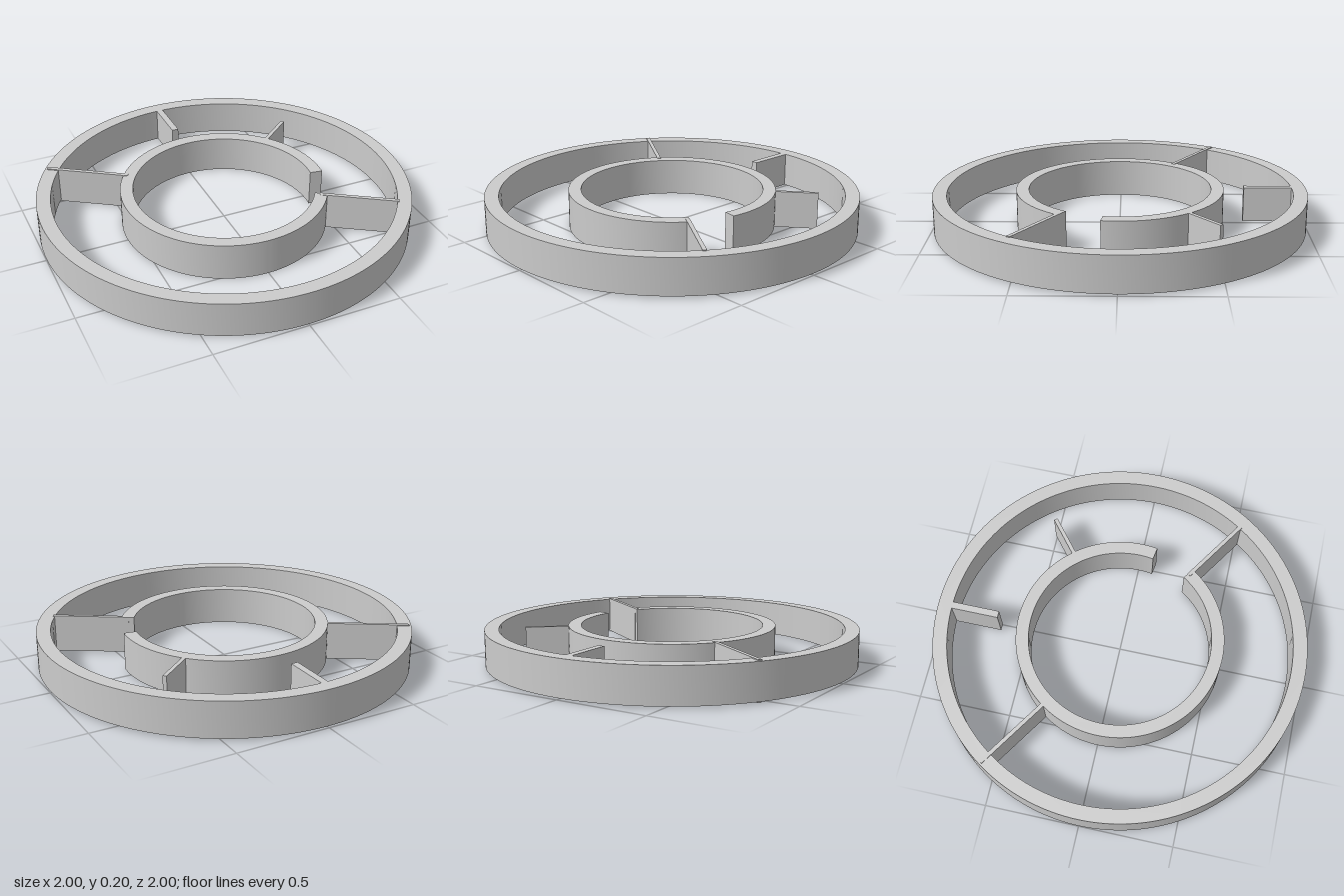
import * as THREE from 'three';
import { toCreasedNormals } from 'three/addons/utils/BufferGeometryUtils.js';

const material = new THREE.MeshStandardMaterial({ color: 0xcccccc });

function addMesh(group, name, geometry) {
  const mesh = new THREE.Mesh(geometry, material);
  mesh.name = name;
  group.add(mesh);
  return mesh;
}

// Raise a plan outline (shape y becomes z) from bottom to top
function raise(shape, bottom, top) {
  const geometry = new THREE.ExtrudeGeometry(shape, { depth: top - bottom, bevelEnabled: false, curveSegments: 96 });
  geometry.rotateX(Math.PI / 2).translate(0, top, 0);
  return toCreasedNormals(geometry, 0.5);
}

// Upright wall between two plan points
function addWall(group, name, [x1, z1], [x2, z2], thickness, bottom, top) {
  const length = Math.hypot(x2 - x1, z2 - z1);
  const wall = addMesh(group, name, new THREE.BoxGeometry(length, top - bottom, thickness));
  wall.position.set((x1 + x2) / 2, (bottom + top) / 2, (z1 + z2) / 2);
  wall.rotation.y = -Math.atan2(z2 - z1, x2 - x1);
}

export function createModel() {
  const group = new THREE.Group();
  group.name = 'ringMaze';

  // Closed outer ring
  const outer = new THREE.Shape().absarc(0, 0, 1, 0, Math.PI * 2);
  outer.holes.push(new THREE.Path().absarc(0, 0, 0.924, 0, Math.PI * 2, true));
  addMesh(group, 'outerRing', raise(outer, 0.01, 0.2));

  // Inner ring with a gap at its front left
  const start = THREE.MathUtils.degToRad(33);
  const end = THREE.MathUtils.degToRad(369.3);
  const inner = new THREE.Shape();
  inner.absarc(0, 0, 0.557, start, end, false);
  inner.absarc(0, 0, 0.489, end, start, true);
  inner.closePath();
  addMesh(group, 'innerRing', raise(inner, 0, 0.203));

  // Thin walls joining the rings, and a free stub
  addWall(group, 'frontLeftWall', [0.43, 0.29], [0.779, 0.514], 0.021, 0.002, 0.205);
  addWall(group, 'backRightWall', [-0.44, -0.302], [-0.822, -0.55], 0.021, 0.002, 0.205);
  addWall(group, 'innerStub', [0.415, -0.345], [0.604, -0.5], 0.021, 0.004, 0.203);

  // Thick tab pointing in from the outer ring
  addWall(group, 'outerTab', [-0.017, -0.94], [-0.017, -0.668], 0.037, 0.01, 0.2);

  return group;
}
